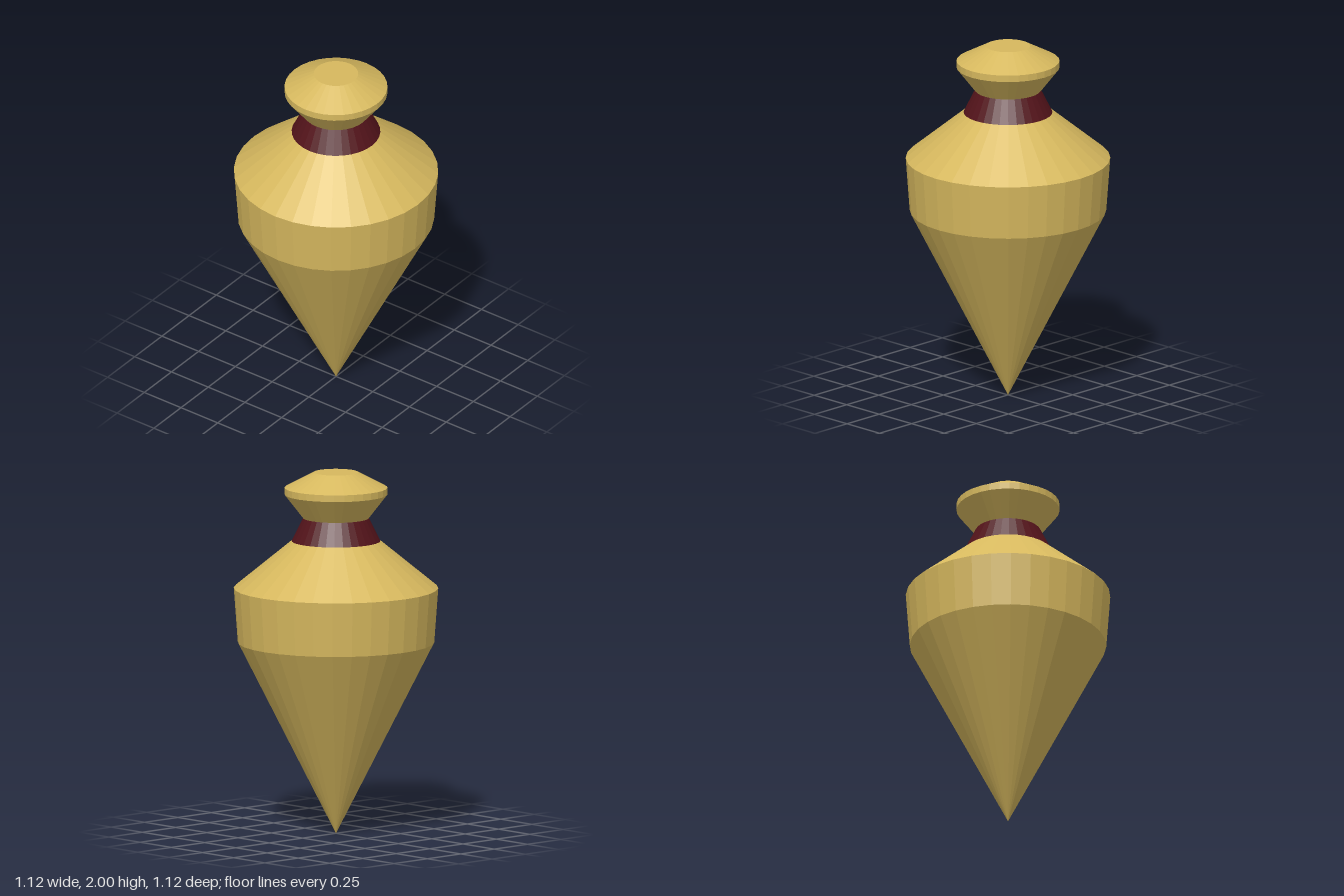
import * as THREE from 'three';

const SIDES = 32;

// Turned part from [radius, height] pairs, listed bottom to top
function turned(name, profile, material) {
  const points = profile.map(([r, y]) => new THREE.Vector2(r, y));
  const mesh = new THREE.Mesh(new THREE.LatheGeometry(points, SIDES), material);
  mesh.name = name;
  return mesh;
}

export function createModel() {
  const group = new THREE.Group();
  group.name = 'plumbBob';

  const brass = new THREE.MeshStandardMaterial({ color: 0xd6b85e, flatShading: true });
  const maroon = new THREE.MeshStandardMaterial({ color: 0x53131a, flatShading: true });

  group.add(
    // Pointed cone, slightly flared band and sloping shoulder
    turned('body', [[0, 0], [0.538, 1.06], [0.56, 1.36], [0.243, 1.62]], brass),
    // Dark tapered collar
    turned('collar', [[0.243, 1.62], [0.18, 1.747]], maroon),
    // Flared cap with a narrow rim and flat top
    turned('cap', [[0.18, 1.747], [0.282, 1.878], [0.282, 1.915], [0.122, 2], [0, 2]], brass),
  );
  return group;
}
